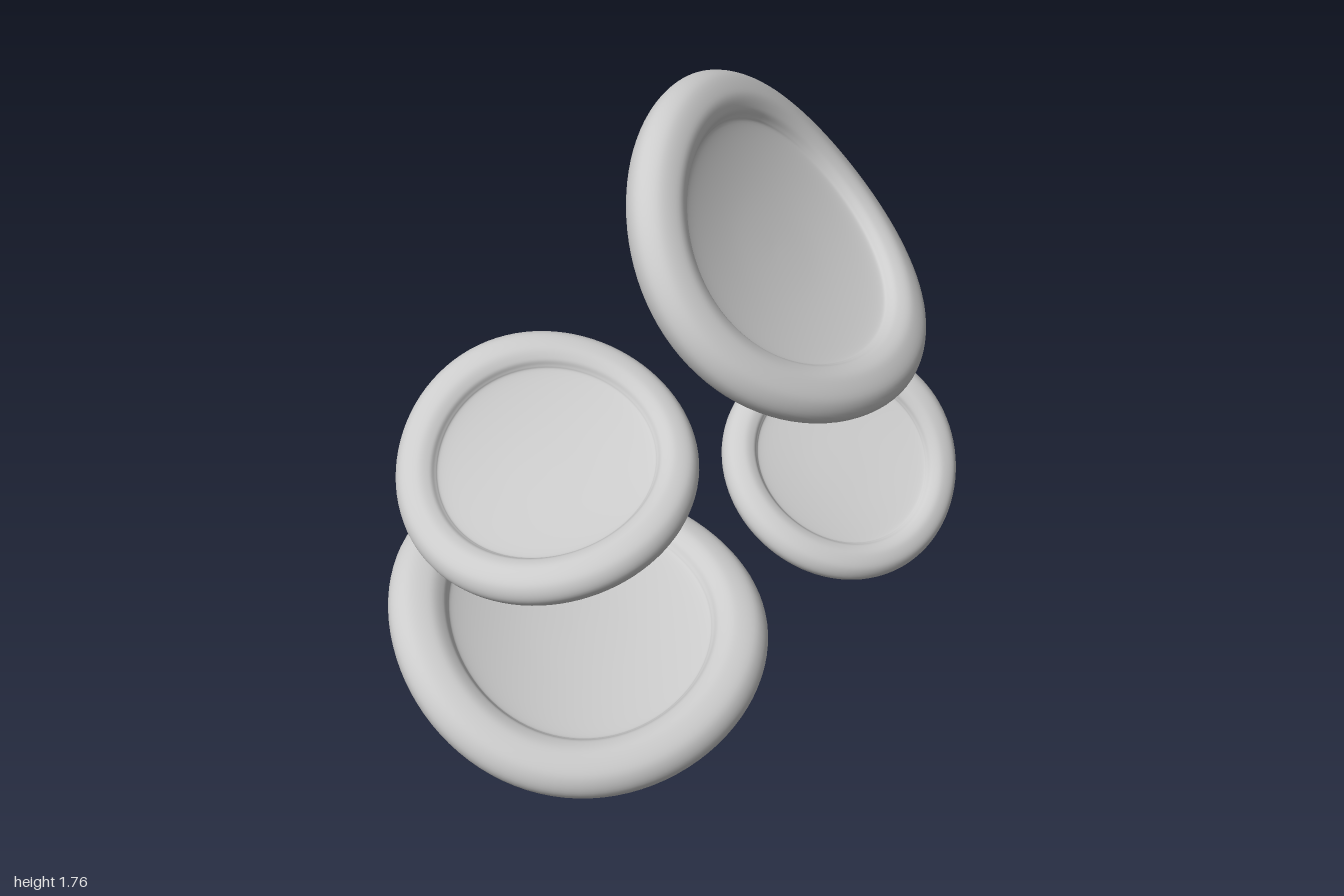
import * as THREE from 'three';
import { mergeVertices } from 'three/addons/utils/BufferGeometryUtils.js';

// Half section of a unit disc: dimple below, fat round rim, shallow dish above
const SECTION = [
  [0, -0.045], [0.3, -0.053], [0.58, -0.085], [0.72, -0.135], [0.83, -0.155], [0.94, -0.105], [1, 0.005],
  [0.965, 0.11], [0.86, 0.163], [0.775, 0.15], [0.735, 0.115], [0.7, 0.095], [0.55, 0.08], [0.3, 0.068], [0, 0.065],
];

// A round dished disc, curled up along its local x like a shallow saddle
function discGeometry(bend) {
  const curve = new THREE.SplineCurve(SECTION.map(([r, y]) => new THREE.Vector2(r, y)));
  const points = curve.getPoints(84).map((p) => new THREE.Vector2(Math.max(p.x, 0), p.y));
  points[0].x = points[points.length - 1].x = 0;
  let geometry = new THREE.LatheGeometry(points, 96);
  geometry.deleteAttribute('uv');
  geometry.deleteAttribute('normal');
  geometry = mergeVertices(geometry, 1e-4);
  const pos = geometry.attributes.position;
  for (let i = 0; i < pos.count; i++) {
    const x = pos.getX(i);
    const y = pos.getY(i);
    // Shift along the curl and lean each section with its slope
    const slope = 2 * bend * x;
    const length = Math.hypot(1, slope);
    pos.setX(i, x - (y * slope) / length);
    pos.setY(i, bend * x * x + y / length);
  }
  return geometry;
}

// centre: middle of the bounds; normal: way the dish faces; curl: direction of the raised ends
const CELLS = [
  { name: 'bottomCell', radius: 0.58, bend: 0.22, centre: [0, 0.27, 0.42], normal: [0.345, 0.94, 0], curl: [1, 0, -1] },
  { name: 'middleCell', radius: 0.44, bend: 0.18, centre: [0.01, 0.89, 0.5], normal: [0.36, 0.88, 0.3], curl: [1, 0, 0.2] },
  { name: 'backCell', radius: 0.39, bend: 0.2, centre: [-0.02, 0.447, -0.615], normal: [0.64, 0.74, 0.22], curl: [-0.22, 0.53, -0.82] },
  { name: 'topCell', radius: 0.575, bend: 0.2, centre: [-0.075, 1.305, -0.385], normal: [0.66, 0.67, -0.32], curl: [0.56, -0.74, -0.37] },
];

export function createModel() {
  const group = new THREE.Group();
  group.name = 'floatingCells';
  const material = new THREE.MeshStandardMaterial({ color: 0xcccccc });

  for (const { name, radius, bend, centre, normal, curl } of CELLS) {
    const up = new THREE.Vector3(...normal).normalize();
    const along = new THREE.Vector3(...curl).projectOnPlane(up).normalize();
    const across = new THREE.Vector3().crossVectors(along, up);
    const geometry = discGeometry(bend);
    geometry.scale(radius, radius, radius);
    geometry.applyMatrix4(new THREE.Matrix4().makeBasis(along, up, across));
    geometry.center();
    geometry.computeVertexNormals();
    const cell = new THREE.Mesh(geometry, material);
    cell.name = name;
    cell.position.set(...centre);
    group.add(cell);
  }
  return group;
}
